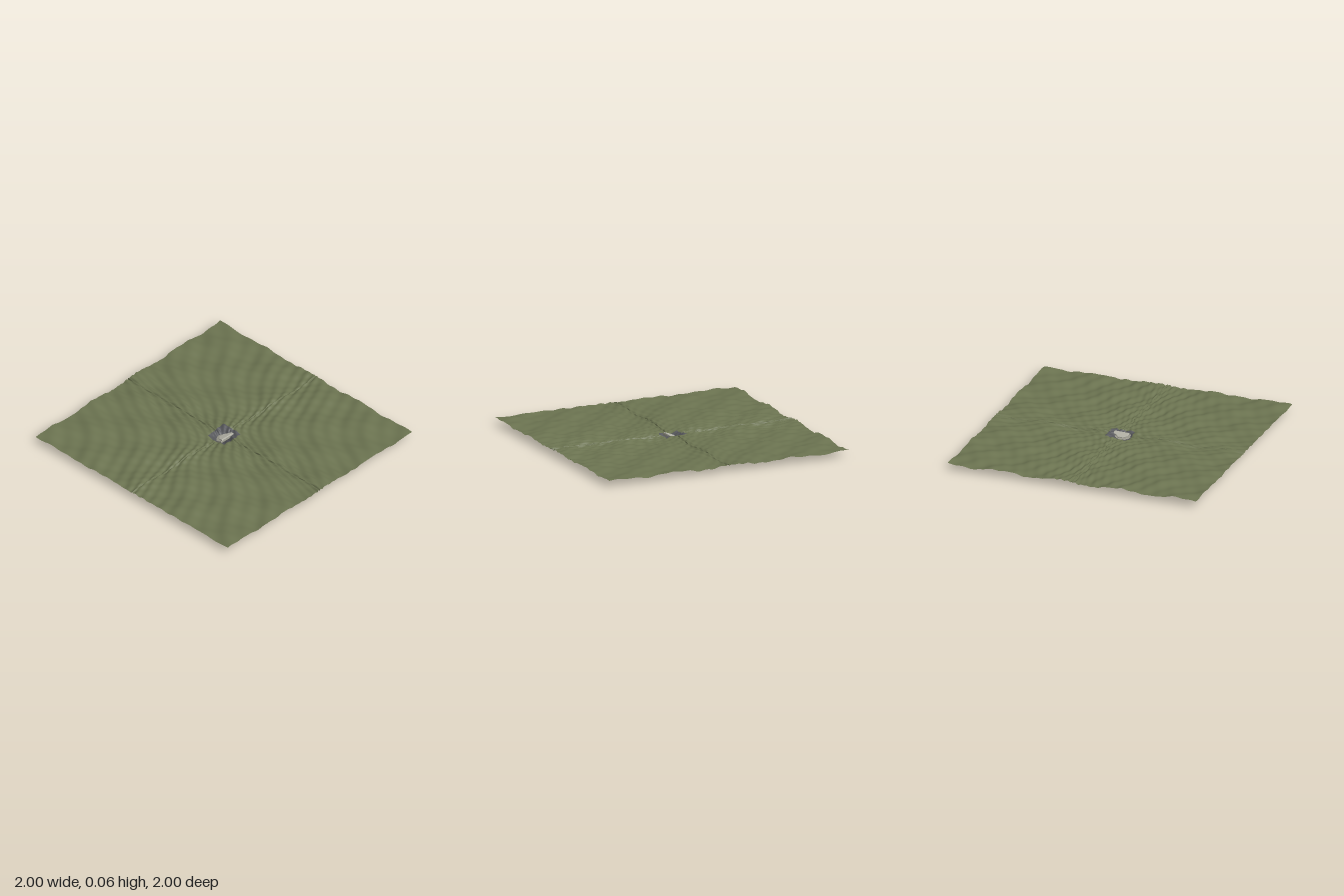
import * as THREE from 'three';

const N = 80;        // grid cells per half side
const PATCH = 19;    // cells from the centre covered by bare rock
const warp = (u) => Math.sign(u) * Math.abs(u) ** 1.7; // finer cells towards the centre

// Ground height: broad swells, diagonal ripples and a pit in the middle
function height(u, v) {
  const x = warp(u), z = warp(v);
  const d = Math.min(1, Math.hypot(x + 0.02, z) / 0.11);
  const rim = d * d * (3 - 2 * d);
  const swell = 0.011 * Math.sin(13.1 * x + 0.3) * Math.cos(13.1 * z + 0.5);
  const ripple = 0.0035 * Math.sin(48 * (u + v) + 2 * Math.sin(7 * u - 5 * v))
    + 0.002 * Math.sin(31 * (u + v) + 19 * (u - v))
    + 0.002 * Math.sin(83 * u - 37 * v + 1);
  return 0.051 - 0.046 * (1 - rim) + (swell + ripple) * (0.1 + 0.9 * rim);
}

// Height-field surface over a square of cells, optionally with a square hole
function surface(half, hole, color, name) {
  const pos = [], idx = [], row = 2 * half + 1;
  for (let j = -half; j <= half; j++) {
    for (let i = -half; i <= half; i++) {
      const u = i / N, v = j / N;
      pos.push(warp(u), height(u, v), warp(v));
    }
  }
  for (let j = -half; j < half; j++) {
    for (let i = -half; i < half; i++) {
      if (i >= -hole && i < hole && j >= -hole && j < hole) continue;
      const a = (j + half) * row + i + half, b = a + row;
      idx.push(a, b, a + 1, b, b + 1, a + 1);
    }
  }
  const geo = new THREE.BufferGeometry();
  geo.setAttribute('position', new THREE.Float32BufferAttribute(pos, 3));
  geo.setIndex(idx);
  geo.computeVertexNormals();
  const mesh = new THREE.Mesh(geo, new THREE.MeshStandardMaterial({ color, side: THREE.DoubleSide }));
  mesh.name = name;
  return mesh;
}

// Arched slab of pale stone leaning towards the back
function slab(points, thickness, color, name) {
  const shape = new THREE.Shape(points.map(([x, y]) => new THREE.Vector2(x, y)));
  const geo = new THREE.ExtrudeGeometry(shape, {
    depth: thickness, bevelEnabled: true, bevelSize: 0.003, bevelThickness: 0.003, bevelSegments: 1,
  });
  geo.rotateX(-Math.PI / 2);
  const mesh = new THREE.Mesh(geo, new THREE.MeshStandardMaterial({ color, flatShading: true }));
  mesh.name = name;
  return mesh;
}

export function createModel() {
  const group = new THREE.Group();
  group.name = 'terrain';
  group.add(surface(N, PATCH, 0x6b7350, 'grassland'));
  group.add(surface(PATCH, 0, 0x55565a, 'rockyPit'));

  // Outcrop in the pit: a broad lower ledge and a smaller upper one
  const lower = slab([[-0.07, -0.04], [0.06, -0.045], [0.07, -0.01], [0.045, 0.015],
    [0.02, 0.04], [-0.02, 0.045], [-0.05, 0.025], [-0.075, 0]], 0.012, 0x99988c, 'lowerLedge');
  lower.position.set(0, 0.02, 0);
  lower.rotation.x = -0.25;
  const upper = slab([[-0.06, -0.035], [0.055, -0.04], [0.06, -0.015], [0.03, 0.0],
    [0.01, 0.022], [-0.025, 0.022], [-0.055, 0]], 0.008, 0xb3b2a6, 'upperLedge');
  upper.position.set(0, 0.034, 0.004);
  upper.rotation.x = -0.3;
  group.add(lower, upper);
  return group;
}
